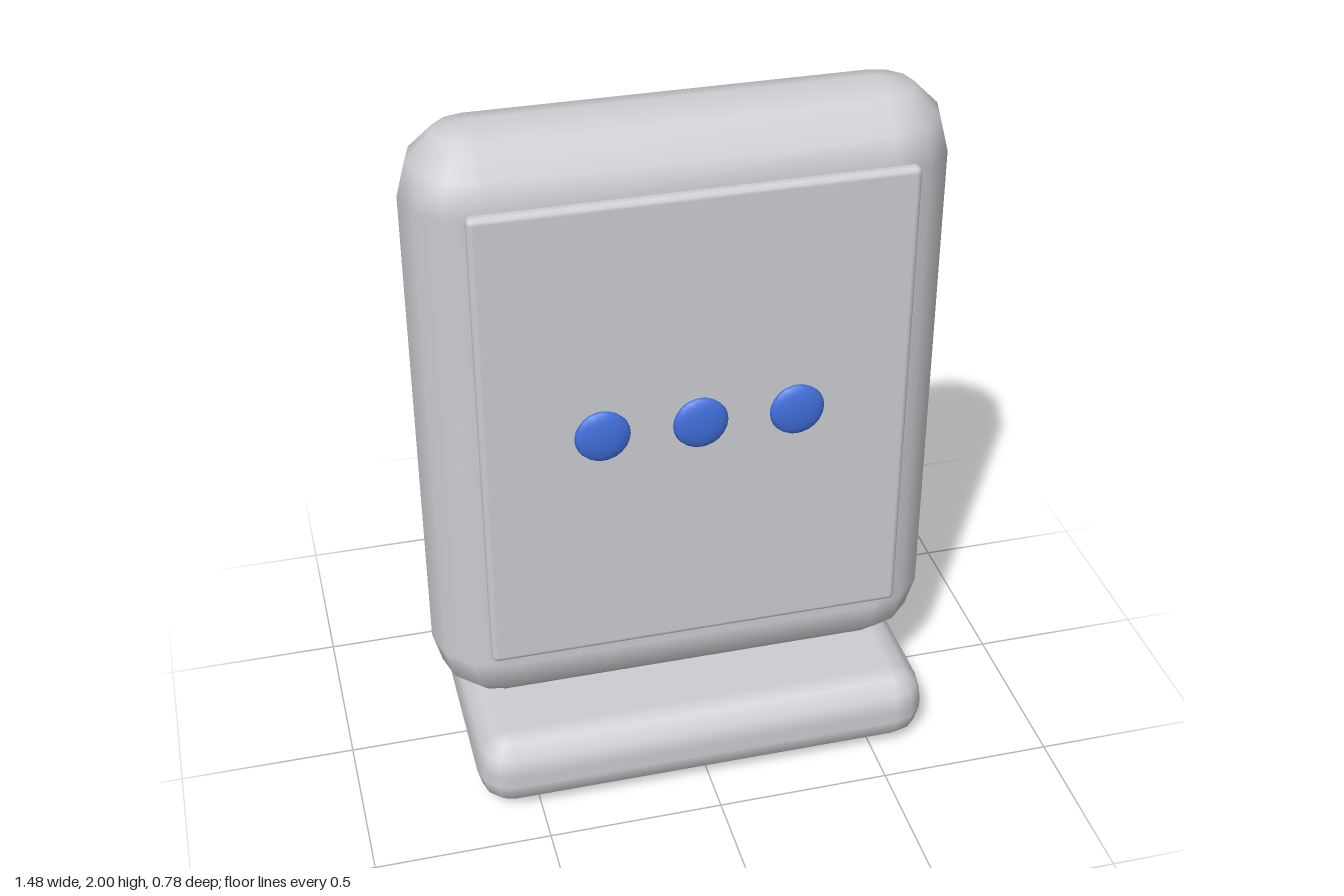
import * as THREE from 'three';

// Box with fully rounded edges: an eighth of a sphere at each corner, three steps per quarter turn
function roundedBox(w, h, d, r, steps = 3) {
  const pos = [], nor = [], idx = [];
  const cols = 4 * (steps + 1), rows = 2 * (steps + 1);
  const quarter = Math.PI / 2;
  const inner = [w / 2 - r, h / 2 - r, d / 2 - r];
  for (let i = 0; i < rows; i++) {
    const half = Math.floor(i / (steps + 1));
    const theta = (half + (i % (steps + 1)) / steps) * quarter;
    for (let j = 0; j < cols; j++) {
      const q = Math.floor(j / (steps + 1));
      const phi = (q + (j % (steps + 1)) / steps) * quarter;
      const n = [Math.sin(theta) * Math.cos(phi), Math.cos(theta), Math.sin(theta) * Math.sin(phi)];
      const sign = [q === 0 || q === 3 ? 1 : -1, half === 0 ? 1 : -1, q < 2 ? 1 : -1];
      for (let k = 0; k < 3; k++) pos.push(sign[k] * inner[k] + n[k] * r);
      nor.push(...n);
    }
  }
  for (let i = 0; i < rows - 1; i++) {
    for (let j = 0; j < cols; j++) {
      const k = (j + 1) % cols;
      const a = i * cols + j, b = i * cols + k, c = b + cols, e = a + cols;
      idx.push(a, b, c, a, c, e);
    }
  }
  // flat top and bottom
  const s = steps + 1, o = (rows - 1) * cols;
  idx.push(0, 3 * s, 2 * s, 0, 2 * s, s);
  idx.push(o, o + s, o + 2 * s, o, o + 2 * s, o + 3 * s);
  const g = new THREE.BufferGeometry();
  g.setAttribute('position', new THREE.Float32BufferAttribute(pos, 3));
  g.setAttribute('normal', new THREE.Float32BufferAttribute(nor, 3));
  g.setIndex(idx);
  return g;
}

export function createModel() {
  const model = new THREE.Group();
  model.name = 'standingPanel';
  const grey = new THREE.MeshStandardMaterial({ color: 0xcccdd1 });
  grey.name = 'lightGrey';
  const blue = new THREE.MeshStandardMaterial({ color: 0x416fdc });
  blue.name = 'blue';

  const add = (name, geometry, material, x, y, z) => {
    const mesh = new THREE.Mesh(geometry, material);
    mesh.name = name;
    mesh.position.set(x, y, z);
    model.add(mesh);
    return mesh;
  };

  // foot, upright body and front panel
  add('base', roundedBox(1.34, 0.235, 0.78, 0.1), grey, 0, 0.1175, 0);
  add('body', roundedBox(1.475, 1.805, 0.388, 0.193), grey, 0, 1.0975, 0);
  add('frontPanel', roundedBox(1.195, 1.405, 0.042, 0.018), grey, 0, 1.1325, 0.209);

  // row of three flattened buttons
  const button = new THREE.SphereGeometry(0.077, 16, 12);
  button.scale(1, 1, 0.28);
  [-0.27, 0, 0.27].forEach((x, i) => add('button' + (i + 1), button, blue, x, 1.16, 0.248));

  return model;
}
